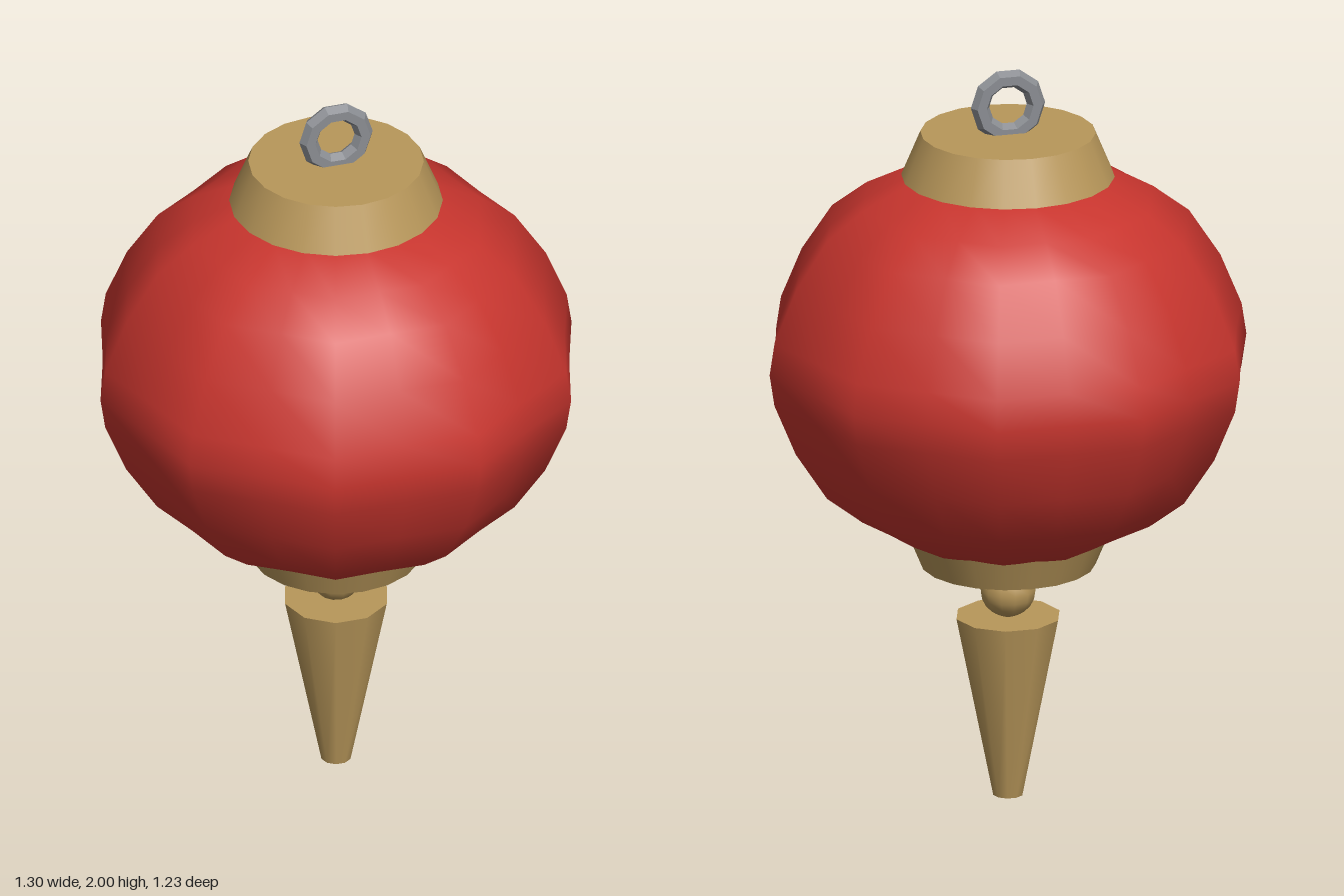
import * as THREE from 'three';
import { mergeVertices, toCreasedNormals } from 'three/addons/utils/BufferGeometryUtils.js';

const red = new THREE.MeshStandardMaterial({ color: 0xc8352e });
red.name = 'red paper';
const gold = new THREE.MeshStandardMaterial({ color: 0xb8975a });
gold.name = 'gold';
const grey = new THREE.MeshStandardMaterial({ color: 0x8a8d92 });
grey.name = 'grey metal';

const CENTRE = 1.215;

// Ribbed lantern body: a lathe whose odd columns are pulled in to form valleys
function bodyGeometry() {
  const half = [[0.635, 0.085], [0.577, 0.225], [0.492, 0.355], [0.395, 0.43], [0.272, 0.492], [0, 0.54]];
  const profile = [
    ...half.map(([r, y]) => new THREE.Vector2(r, -y)).reverse(),
    new THREE.Vector2(0.648, 0),
    ...half.map(([r, y]) => new THREE.Vector2(r, y)),
  ];
  const geo = new THREE.LatheGeometry(profile, 20, Math.PI / 2);
  const pos = geo.attributes.position;
  for (let i = 0; i < pos.count; i++) {
    const column = Math.floor(i / profile.length);
    const s = column % 2 ? 0.943 : 1;
    pos.setXYZ(i, pos.getX(i) * s, pos.getY(i), pos.getZ(i) * s);
  }
  geo.deleteAttribute('uv');
  geo.deleteAttribute('normal');
  const merged = mergeVertices(geo, 1e-4);
  merged.computeVertexNormals();
  return merged;
}

// Tapered round part with a polygon corner on the x axis
function frustum(topR, bottomR, height, sides) {
  return new THREE.CylinderGeometry(topR, bottomR, height, sides, 1, false, Math.PI / 2);
}

export function createModel() {
  const group = new THREE.Group();
  group.name = 'hangingLantern';

  const add = (name, geometry, material, y) => {
    const mesh = new THREE.Mesh(geometry, material);
    mesh.name = name;
    mesh.position.y = y;
    group.add(mesh);
  };

  add('lanternBody', bodyGeometry(), red, CENTRE);

  // Caps above and below the body
  add('topCap', frustum(0.23, 0.28, 0.12, 20), gold, 1.77);
  add('bottomCap', frustum(0.28, 0.23, 0.12, 20), gold, 0.7);

  // Bead and tassel
  add('bead', new THREE.SphereGeometry(0.074, 12, 10), gold, 0.567);
  add('tassel', frustum(0.14, 0.04, 0.495, 10), gold, 0.2475);

  // Faceted hanging ring
  const ring = toCreasedNormals(new THREE.TorusGeometry(0.076, 0.025, 6, 10), 0.1);
  add('hangingRing', ring, grey, 1.904);

  return group;
}
